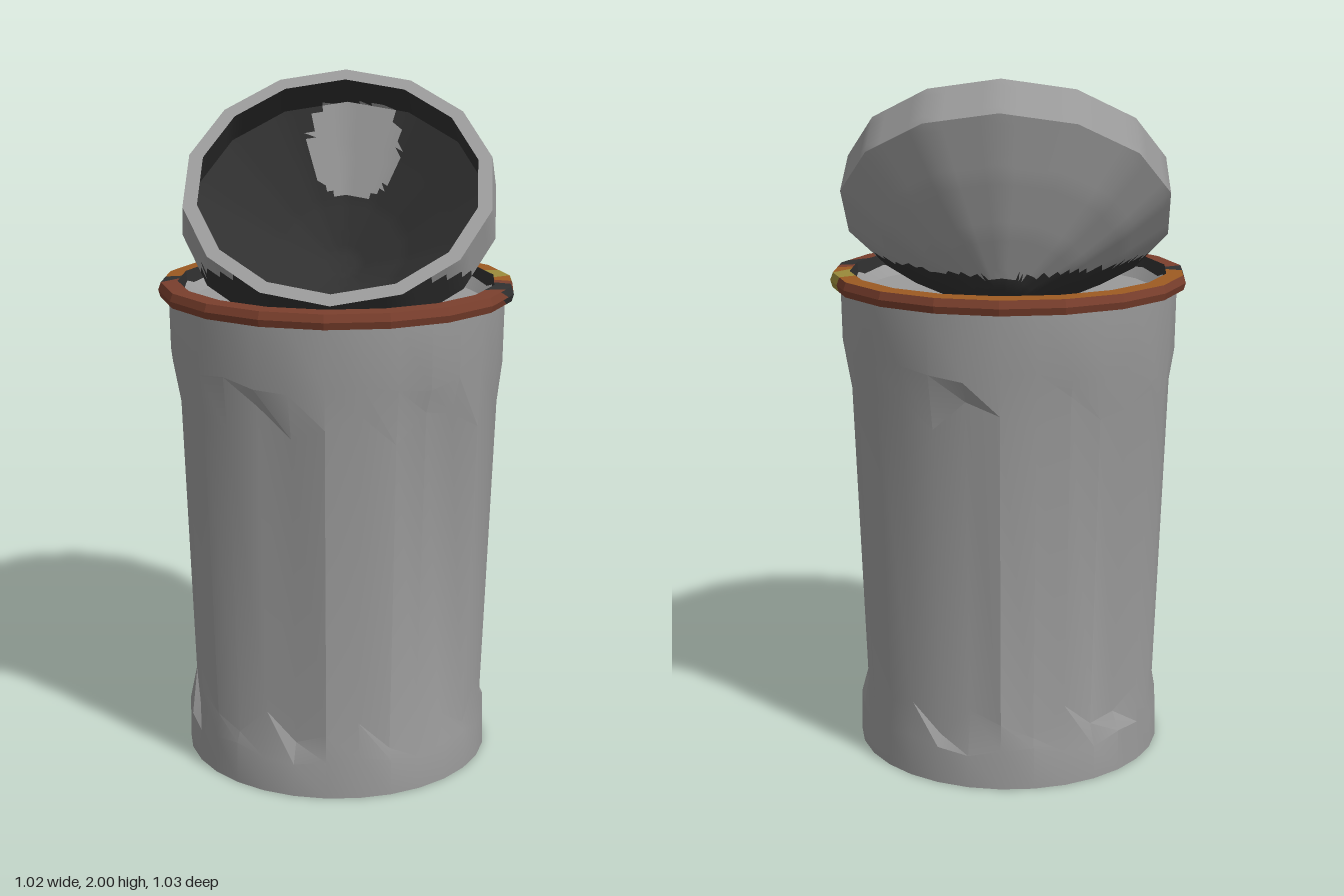
import * as THREE from 'three';
import { toCreasedNormals } from 'three/addons/utils/BufferGeometryUtils.js';

const mat = (name, color) => Object.assign(new THREE.MeshStandardMaterial({ color }), { name });

// Lathe whose profile runs so that the outside stays on its right; long edges are subdivided
function lathe(profile, segments, step = 10) {
  const pts = [];
  profile.forEach(([r, y], i) => {
    const p = new THREE.Vector2(r, y);
    if (i) {
      const q = new THREE.Vector2(...profile[i - 1]);
      const n = Math.ceil(q.distanceTo(p) / step);
      for (let k = 1; k < n; k++) pts.push(q.clone().lerp(p, k / n));
    }
    pts.push(p);
  });
  return new THREE.LatheGeometry(pts, segments);
}

// Pull a round lathe in to a regular polygon of the given number of sides
function facet(geo, sides) {
  const pos = geo.attributes.position, a = (Math.PI * 2) / sides;
  for (let i = 0; i < pos.count; i++) {
    const x = pos.getX(i), z = pos.getZ(i);
    const t = (Math.atan2(x, z) + Math.PI * 4) % a;
    const s = Math.cos(a / 2) / Math.cos(t - a / 2) * 1.008;
    pos.setX(i, x * s);
    pos.setZ(i, z * s);
  }
  return geo;
}

// Sort triangles into material groups by the position of their centres
function paint(geo, materials, choose) {
  const src = geo.index ? geo.toNonIndexed() : geo;
  const p = src.attributes.position, n = src.attributes.normal;
  const bins = materials.map(() => []);
  const a = new THREE.Vector3(), b = new THREE.Vector3(), c = new THREE.Vector3();
  for (let i = 0; i < p.count; i += 3) {
    a.fromBufferAttribute(p, i);
    b.fromBufferAttribute(p, i + 1);
    c.fromBufferAttribute(p, i + 2);
    const normal = b.clone().sub(a).cross(c.clone().sub(a)).normalize();
    bins[choose(a.add(b).add(c).divideScalar(3), normal)].push(i, i + 1, i + 2);
  }
  const out = new THREE.BufferGeometry();
  const order = bins.flat();
  for (const [name, attr] of [['position', p], ['normal', n]]) {
    const data = order.flatMap((i) => [attr.getX(i), attr.getY(i), attr.getZ(i)]);
    out.setAttribute(name, new THREE.Float32BufferAttribute(data, 3));
  }
  let start = 0;
  bins.forEach((bin, m) => {
    if (bin.length) out.addGroup(start, bin.length, m);
    start += bin.length;
  });
  return out;
}

export function createModel() {
  const model = new THREE.Group();
  const metal = mat('grey metal', 0x9a9a9a);
  const dark = mat('dark interior', 0x303030);
  const rust = mat('brown rust', 0x7a3f2d);
  const orange = mat('orange rust', 0x9c5a22);
  const yellow = mat('yellow rust', 0x9a8a3a);
  const add = (name, geo, material, parent = model) => {
    const mesh = new THREE.Mesh(geo, material);
    mesh.name = name;
    parent.add(mesh);
    return mesh;
  };

  // Tapered can with dented vertical panels between plain bands
  const SEG = 30;
  const body = lathe([[0, 0], [0.452, 0], [0.45, 0.11], [0.445, 0.19],
    [0.477, 1.1], [0.485, 1.21], [0.488, 1.39]], SEG);
  const bp = body.attributes.position;
  const dents = [0, 0.016, 0.004, 0.02, 0.006];
  for (let i = 0; i < bp.count; i++) {
    const y = bp.getY(i), x = bp.getX(i), z = bp.getZ(i);
    const col = Math.round(((Math.atan2(x, z) / (Math.PI * 2) + 1) % 1) * SEG) % SEG;
    if (y > 0.15 && y < 1.15) {
      const s = 1 - dents[(col * 2) % 5] / 0.46;
      bp.setXYZ(i, x * s, y + 0.05 * Math.sin(col * 2.3), z * s);
    } else if (y > 0.05 && y < 1.3) {
      bp.setY(i, y + 0.015 * Math.sin(col * 1.7));
    }
  }
  add('canBody', toCreasedNormals(body, 0.4), metal);

  // Shallow recess closing the top of the can
  add('recessFloor', toCreasedNormals(lathe([[0.46, 1.4], [0.43, 1.365], [0, 1.345]], 24), 0.3), metal);

  // Rusty faceted rim, patched with other tones
  const rim = facet(lathe([[0.455, 1.385], [0.507, 1.385], [0.513, 1.405], [0.505, 1.427],
    [0.457, 1.43], [0.452, 1.385]], 72), 18);
  const rimTone = (c, n) => {
    const angle = Math.atan2(c.x, c.z);
    const inner = n.x * c.x + n.z * c.z < -0.2;
    if (inner) return 1;
    if (Math.abs(angle - 1.8) < 0.1) return 3;
    if (Math.abs(angle - 1.36) < 0.1 || Math.abs(angle + 1.5) < 0.06) return 1;
    return c.z < 0 && n.y > 0.5 ? 2 : 0;
  };
  add('rim', paint(toCreasedNormals(rim, 0.2), [rust, dark, orange, yellow], rimTone),
    [rust, dark, orange, yellow]);

  // Tilted bowl-shaped lid: outer shell, lip and dark lining
  const place = new THREE.Matrix4().makeRotationX(0.706).setPosition(0, 1.7, -0.055);
  const lid = new THREE.Group();
  lid.name = 'lid';
  model.add(lid);

  const shell = facet(lathe([[0, -0.41], [0.06, -0.4], [0.21, -0.315], [0.34, -0.225], [0.465, -0.12],
    [0.452, 0], [0.41, 0]], 56, 0.03), 14).applyMatrix4(place);
  add('lidShell', paint(toCreasedNormals(shell, 0.5), [metal, dark],
    (c, n) => (c.y < 1.465 && n.y < 0.5 ? 1 : 0)), [metal, dark], lid);

  const lining = facet(lathe([[0.41, 0], [0.435, -0.12], [0.315, -0.21], [0.19, -0.3],
    [0.05, -0.37], [0, -0.375]], 70, 0.02), 14).applyMatrix4(place);
  // Bare metal patch on the back wall of the lining
  const isBare = (c) => c.z < -0.34 && c.y > 1.61 && c.y < 1.89 &&
    Math.hypot((c.x - 0.025) / 0.14, (c.y - 1.77) / 0.17) < 1;
  add('lidLining', paint(toCreasedNormals(lining, 0.5), [dark, metal],
    (c) => (isBare(c) ? 1 : 0)), [dark, metal], lid);

  return model;
}
